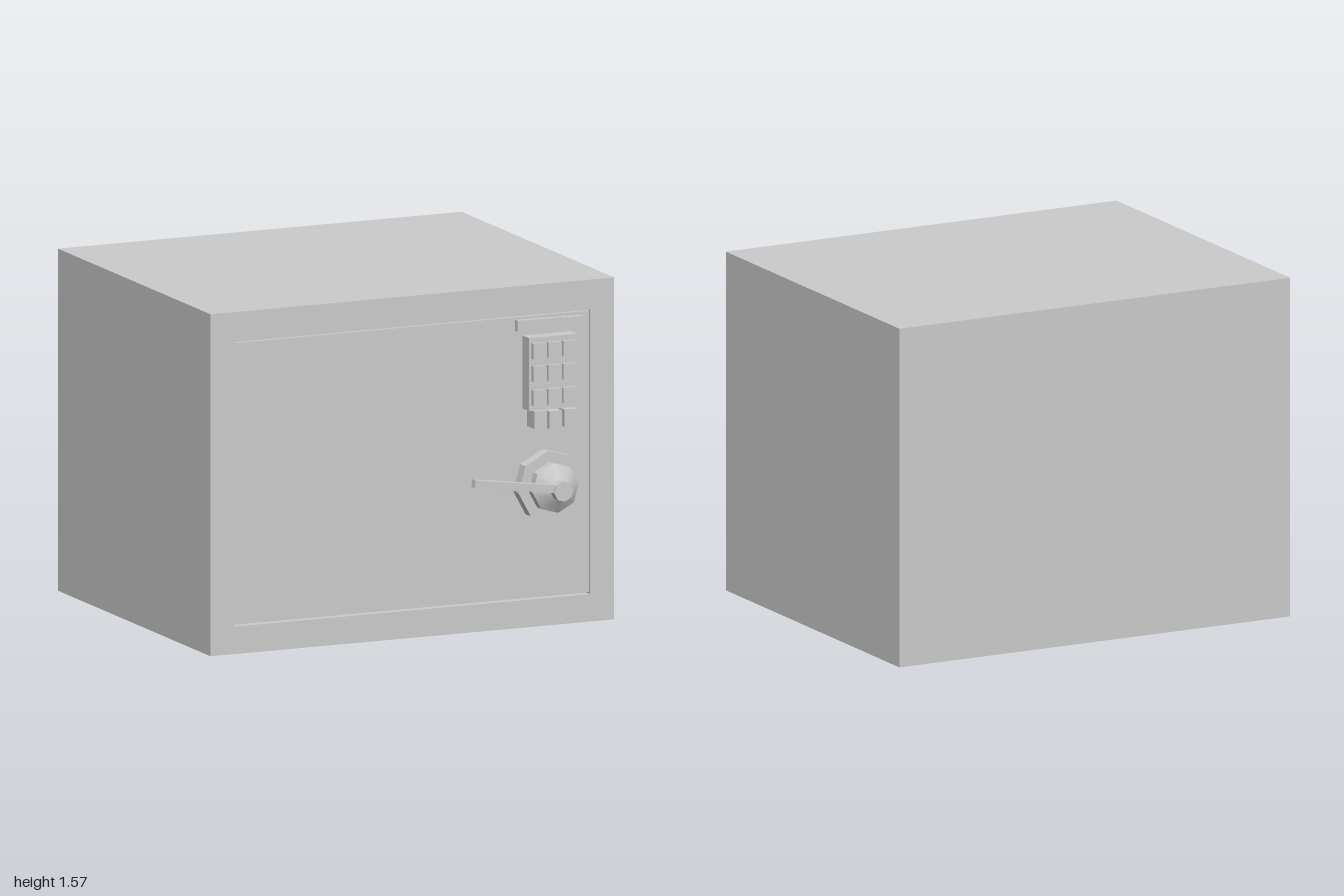
import * as THREE from 'three';

const FRONT = 0.73;

export function createModel() {
  const safe = new THREE.Group();
  safe.name = 'safe';
  const flat = new THREE.MeshStandardMaterial({ color: 0xcccccc, flatShading: true });
  const smooth = new THREE.MeshStandardMaterial({ color: 0xcccccc });

  const add = (parent, name, geometry, material = flat) => {
    const mesh = new THREE.Mesh(geometry, material);
    mesh.name = name;
    parent.add(mesh);
    return mesh;
  };
  // Box given by its limits on each axis
  const box = (parent, name, x0, x1, y0, y1, z0, z1) => {
    const mesh = add(parent, name, new THREE.BoxGeometry(x1 - x0, y1 - y0, z1 - z0));
    mesh.position.set((x0 + x1) / 2, (y0 + y1) / 2, (z0 + z1) / 2);
    return mesh;
  };
  const group = (name) => {
    const g = new THREE.Group();
    g.name = name;
    safe.add(g);
    return g;
  };

  // Cabinet and the frame around the door opening
  const frameBack = FRONT - 0.04;
  box(safe, 'cabinet', -1, 1, 0, 1.57, -0.91, frameBack);
  const rect = (Type, x, y0, y1) => new Type([
    new THREE.Vector2(-x, y0), new THREE.Vector2(x, y0),
    new THREE.Vector2(x, y1), new THREE.Vector2(-x, y1),
  ]);
  const frame = rect(THREE.Shape, 1, 0, 1.57);
  frame.holes.push(rect(THREE.Path, 0.88, 0.126, 1.432));
  add(safe, 'doorFrame', new THREE.ExtrudeGeometry(frame, { depth: 0.04, bevelEnabled: false }))
    .position.z = frameBack;

  // Door, slightly sunk, with a narrow gap above and below
  box(safe, 'door', -0.88, 0.88, 0.136, 1.426, frameBack, FRONT - 0.008);

  // Keypad with three rows of keys, a lower row of blocks and a display strip
  const keypad = group('keypad');
  const base = FRONT - 0.01;
  box(keypad, 'keypadPanel', 0.55, 0.79, 1.005, 1.34, base, 0.79);
  const columns = [0.595, 0.67, 0.745];
  for (const y of [1.28, 1.175, 1.065]) {
    for (const x of columns) {
      box(keypad, 'key', x - 0.031, x + 0.031, y - 0.036, y + 0.036, 0.785, 0.808);
    }
  }
  columns.forEach((x, i) => {
    const y = [0.963, 0.957, 0.96][i];
    box(keypad, 'lowerKey', x + 0.007 - 0.031, x + 0.007 + 0.031, y - 0.04, y + 0.04, base, 0.802);
  });
  box(keypad, 'displayStrip', 0.512, 0.838, 1.362, 1.413, base, 0.75).rotation.z = -0.015;

  // Eight-sided stepped dial
  const dial = group('dial');
  dial.position.set(0.667, 0.648, 0);
  dial.rotation.z = 0.11;
  const tier = (name, r0, r1, z0, z1, material = flat) => {
    const geometry = new THREE.CylinderGeometry(r1, r0, z1 - z0, 8).rotateX(Math.PI / 2);
    add(dial, name, geometry, material).position.z = (z0 + z1) / 2;
  };
  tier('dialPlate', 0.165, 0.165, base, 0.78);
  tier('dialCollar', 0.115, 0.115, 0.78, 0.825);
  tier('dialCone', 0.115, 0.047, 0.825, 0.868, smooth);
  tier('dialHub', 0.047, 0.047, 0.868, 0.912);

  // Lever handle
  const lever = box(safe, 'leverHandle', 0.228, 0.648, 0.67, 0.705, 0.868, 0.904);
  lever.rotation.z = -0.14;
  lever.rotation.y = 0.012;

  return safe;
}
